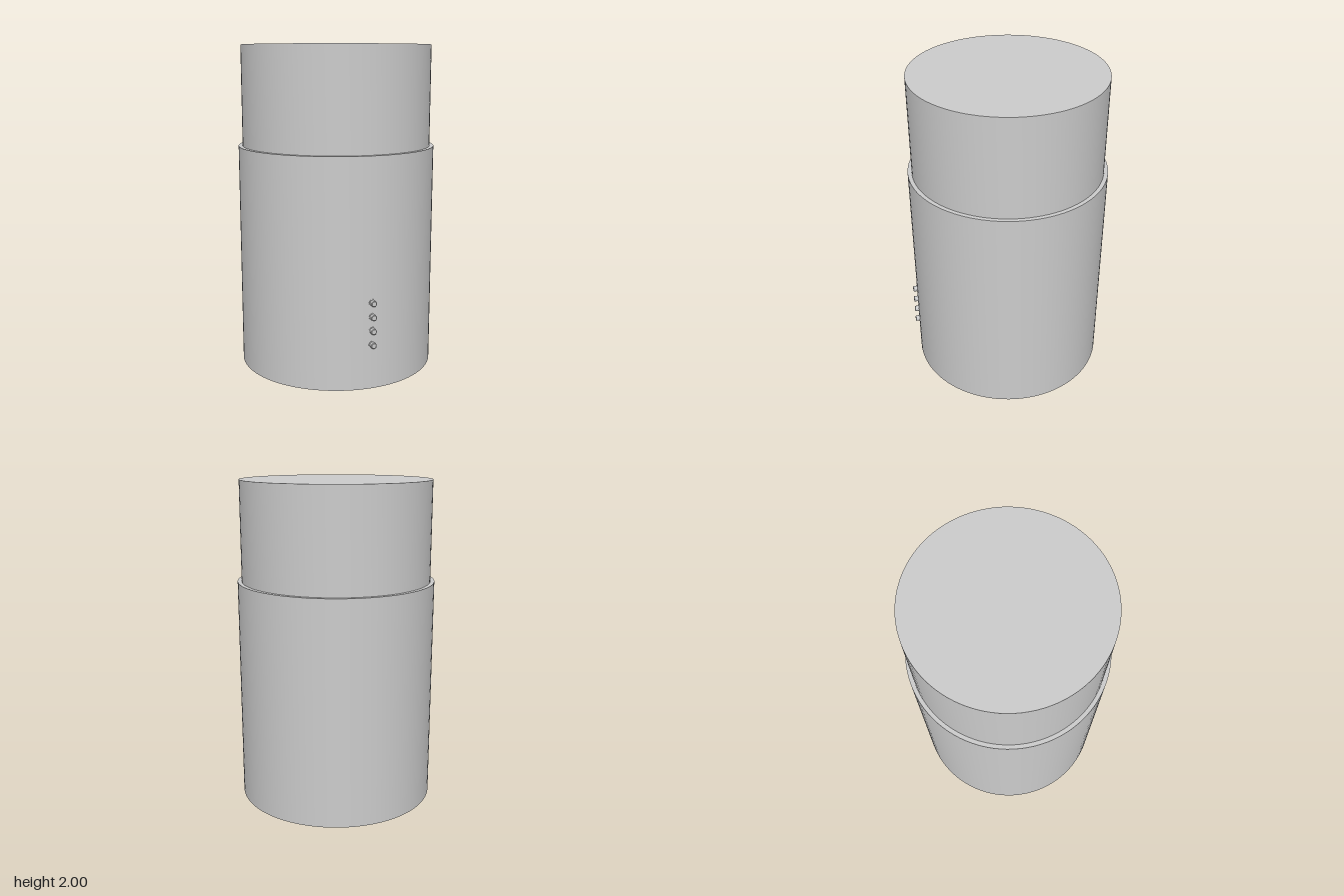
import * as THREE from 'three';
import { toCreasedNormals } from 'three/addons/utils/BufferGeometryUtils.js';

const material = new THREE.MeshStandardMaterial({ color: 0xcccccc });
const AXIS_Z = -0.015; // the body sits slightly back to make room for the buttons
const BODY_R = 0.61;

// Revolve a [radius, height] profile, keeping its corners sharp
function lathe(name, profile, segments) {
  const points = profile.map(([r, y]) => new THREE.Vector2(r, y));
  const geometry = toCreasedNormals(new THREE.LatheGeometry(points, segments), 0.5);
  const mesh = new THREE.Mesh(geometry, material);
  mesh.name = name;
  return mesh;
}

export function createModel() {
  const model = new THREE.Group();
  model.name = 'canister';

  // Lower body with a thin skirt around a recessed floor
  const body = lathe('lowerBody', [
    [0, 0.03], [0.603, 0.03], [0.603, 0], [BODY_R, 0], [BODY_R, 1.385], [0.585, 1.385],
  ], 96);
  body.position.z = AXIS_Z;
  model.add(body);

  // Narrower upper section with a flat closed top
  const upper = lathe('upperSection', [[0.585, 1.385], [0.585, 2], [0, 2]], 96);
  upper.position.z = AXIS_Z;
  model.add(upper);

  // Square cover plate under the floor
  const plate = new THREE.Mesh(new THREE.BoxGeometry(0.74, 0.02, 0.74), material);
  plate.name = 'bottomCover';
  plate.position.set(0, 0.03, AXIS_Z);
  model.add(plate);

  // Column of four small buttons on the front
  const buttons = new THREE.Group();
  buttons.name = 'buttons';
  for (let i = 0; i < 4; i++) {
    const button = lathe('button' + (i + 1), [
      [0.023, -0.01], [0.023, 0.004], [0.018, 0.004], [0.018, 0.025], [0.014, 0.028], [0, 0.028],
    ], 20);
    button.rotation.x = Math.PI / 2;
    button.position.set(0, 0.272 + i * 0.085, AXIS_Z + BODY_R - 0.002);
    buttons.add(button);
  }
  model.add(buttons);

  return model;
}
